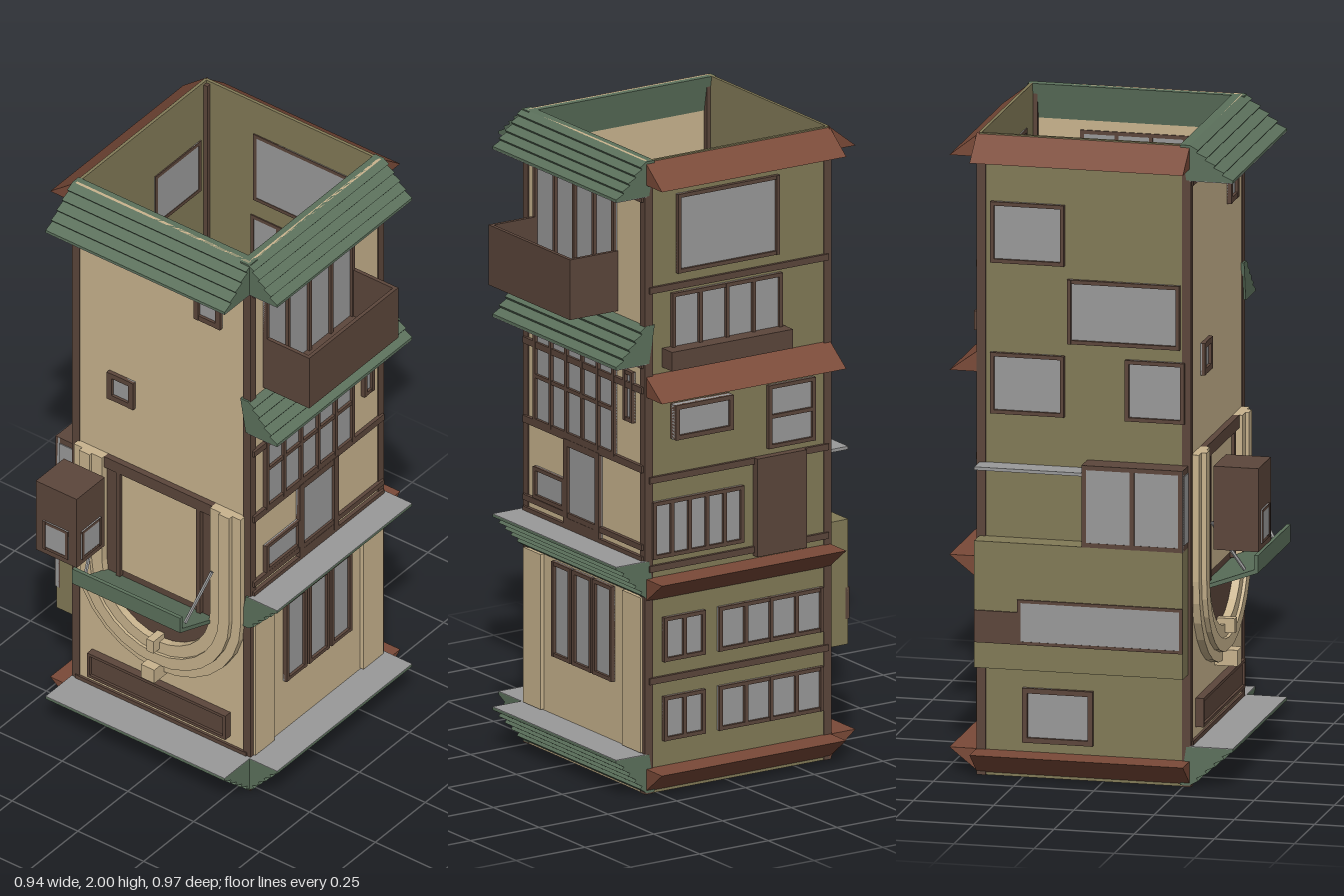
import * as THREE from 'three';

const mat = (color) => new THREE.MeshStandardMaterial({ color, side: THREE.DoubleSide, flatShading: true });

export function createModel() {
  const beige = mat(0xc9b48e), olive = mat(0x827a57), brown = mat(0x5c463b);
  const green = mat(0x5c715c), red = mat(0x7a4a38), grey = mat(0x9a9a9a);
  const model = new THREE.Group();
  model.name = 'tower';

  // Each side is built facing +z in its own frame: u along the wall, y up, o outwards
  const side = (name, x, z, turn) => {
    const g = new THREE.Group();
    g.name = name;
    g.position.set(x, 0, z);
    g.rotation.y = turn * Math.PI / 2;
    model.add(g);
    return g;
  };
  const front = side('frontSide', 0, 0.27, 0);
  const right = side('balconySide', 0.29, 0, 1);
  const back = side('backSide', 0, -0.39, 2);
  const left = side('baySide', -0.38, 0, 3);

  const add = (g, name, geo, m) => {
    const mesh = new THREE.Mesh(geo, m);
    mesh.name = name;
    g.add(mesh);
    return mesh;
  };
  const box = (g, name, m, u0, u1, y0, y1, o0, o1) => {
    const mesh = add(g, name, new THREE.BoxGeometry(u1 - u0, y1 - y0, o1 - o0), m);
    mesh.position.set((u0 + u1) / 2, (y0 + y1) / 2, (o0 + o1) / 2);
    return mesh;
  };
  // Pane with a frame and a grid of bars
  const windowAt = (g, u0, u1, y0, y1, cols = 1, rows = 1, o = 0, w = 0.012, depth = 0.014) => {
    const win = new THREE.Group();
    win.name = 'window';
    win.position.z = o;
    g.add(win);
    box(win, 'pane', grey, u0, u1, y0, y1, -0.012, 0.004);
    for (let i = 0; i <= cols; i++) {
      const u = u0 + w / 2 + (u1 - u0 - w) * i / cols;
      box(win, 'upright', brown, u - w / 2, u + w / 2, y0, y1, -0.014, depth);
    }
    for (let i = 0; i <= rows; i++) {
      const y = y0 + w / 2 + (y1 - y0 - w) * i / rows;
      box(win, 'rail', brown, u0, u1, y - w / 2, y + w / 2, -0.014, depth - 0.001);
    }
  };
  // Extrudes an (o, y) profile along u
  const prism = (g, name, m, pts, u0, u1) => {
    const shape = new THREE.Shape(pts.map(([o, y]) => new THREE.Vector2(o, y)));
    const geo = new THREE.ExtrudeGeometry(shape, { depth: u1 - u0, bevelEnabled: false });
    geo.rotateY(-Math.PI / 2);
    geo.translate(u1, 0, 0);
    return add(g, name, geo, m);
  };
  // Ribbed eave; yTip is the height of its outer edge, yWall where it meets the wall
  const greenRoof = (g, yWall, yTip, u0, u1, out) => {
    const pts = [[-0.03, yWall], [0, yWall]];
    const n = 5, drop = (yTip - yWall) / n;
    for (let i = 1; i <= n; i++) {
      pts.push([out * i / n, yWall + drop * (i - 0.35)]);
      pts.push([out * i / n - (i < n ? 0.006 : 0), yWall + drop * i]);
    }
    pts.push([-0.01, yTip]);
    prism(g, 'greenRoof', green, pts, u0, u1);
    const s = Math.sign(yTip - yWall) * 0.002;
    box(g, 'soffit', grey, u0, u1, yTip + Math.min(0, s), yTip + Math.max(0, s), 0, out);
  };
  const redRoof = (g, yWall, yTip, u0, u1) =>
    prism(g, 'redRoof', red, [[-0.005, yWall], [0.09, yTip], [-0.005, yTip]], u0, u1);

  // Hollow walls, open at top and bottom
  box(front, 'frontWall', beige, -0.375, 0.285, 0, 2, -0.01, 0);
  box(right, 'balconyWall', beige, -0.265, 0.385, 0, 2, -0.01, 0);
  box(back, 'backWall', olive, -0.285, 0.375, 0, 2, -0.01, 0);
  box(left, 'bayWall', olive, -0.385, 0.265, 0, 2, -0.01, 0);
  for (const x of [-0.37, 0.28]) for (const z of [-0.38, 0.26])
    box(model, 'cornerPost', brown, x - 0.014, x + 0.014, 0, 1.99, z - 0.014, z + 0.014);

  // Roofs: the two lower tiers flare upwards, the upper ones slope down
  greenRoof(front, 2, 1.89, -0.385, 0.295, 0.135);
  greenRoof(front, 0.005, 0.125, -0.385, 0.295, 0.135);
  for (const [a, b] of [[2, 1.89], [1.48, 1.36], [0.62, 0.735], [0.005, 0.125]])
    greenRoof(right, a, b, -0.28, 0.395, 0.11);
  for (const [a, b] of [[2, 1.925], [1.325, 1.255], [0.605, 0.68], [0.005, 0.08]])
    redRoof(back, a, b, -0.29, 0.38);
  for (const [a, b] of [[2, 1.925], [0.005, 0.08]]) redRoof(left, a, b, -0.395, 0.27);

  // Front: beams, small windows, base plate
  for (const y of [0.125, 1.87]) box(front, 'beam', brown, -0.37, 0.28, y, y + 0.015, 0, 0.008);
  windowAt(front, 0.085, 0.185, 1.705, 1.805, 1, 1, 0, 0.018);
  windowAt(front, -0.245, -0.145, 1.25, 1.35, 1, 1, 0, 0.018);
  box(front, 'basePlate', brown, -0.31, 0.215, 0.17, 0.26, 0, 0.018);
  for (const y of [0.17, 0.25]) box(front, 'plateRim', brown, -0.31, 0.215, y, y + 0.01, 0.01, 0.026);
  for (const u of [-0.31, 0.205]) box(front, 'plateRim', brown, u, u + 0.01, 0.17, 0.26, 0.01, 0.026);

  // U-shaped surround with stepped mouldings
  const cx = -0.045, cy = 0.635, top = 1.03, N = 14;
  const uLine = (r) => {
    const pts = [new THREE.Vector2(cx - r, top)];
    for (let i = 0; i <= N; i++) {
      const a = Math.PI + Math.PI * i / N;
      pts.push(new THREE.Vector2(cx + r * Math.cos(a), cy + r * Math.sin(a)));
    }
    pts.push(new THREE.Vector2(cx + r, top));
    return pts;
  };
  for (const [r0, r1, o] of [[0.205, 0.245, 0.03], [0.245, 0.285, 0.04], [0.285, 0.317, 0.024]]) {
    const shape = new THREE.Shape([...uLine(r1), ...uLine(r0).reverse()]);
    const geo = new THREE.ExtrudeGeometry(shape, { depth: o + 0.035, bevelEnabled: false });
    add(front, 'surroundMoulding', geo, beige).position.z = -0.035;
  }
  add(front, 'surroundPanel', new THREE.ShapeGeometry(new THREE.Shape(uLine(0.206))), brown).position.z = 0.005;
  box(front, 'innerPanel', beige, -0.19, 0.1, 0.62, 0.99, 0, 0.01);
  for (const u of [-0.205, 0.1]) box(front, 'panelPost', brown, u, u + 0.015, 0.6, 1.0, 0, 0.02);
  box(front, 'panelLintel', brown, -0.25, 0.16, 0.99, 1.03, 0, 0.02);
  box(front, 'keystone', beige, -0.07, -0.02, 0.305, 0.355, 0, 0.072);
  box(front, 'smallKeystone', beige, -0.058, -0.032, 0.405, 0.45, 0, 0.06);

  // Tilted green ledge with a lip and stay rods
  prism(front, 'ledge', green, [[-0.15, 0.525], [0.18, 0.645], [0.18, 0.7], [0.168, 0.7],
    [0.168, 0.655], [-0.15, 0.537]], -0.25, 0.16);
  for (const s of [-1, 1]) {
    const path = new THREE.LineCurve3(new THREE.Vector3(cx + s * 0.19, 0.65, 0.135),
      new THREE.Vector3(cx + s * 0.22, 0.8, 0.04));
    add(front, 'stayRod', new THREE.TubeGeometry(path, 1, 0.006, 6), grey);
  }

  // Hanging box with windows
  box(front, 'hangingBox', brown, -0.365, -0.21, 0.74, 1.0, 0.07, 0.21);
  windowAt(front, -0.335, -0.24, 0.76, 0.865, 1, 1, 0.21, 0.01, 0.006);
  const boxSide = new THREE.Group();
  boxSide.name = 'hangingBoxSide';
  boxSide.position.set(-0.21, 0, 0.14);
  boxSide.rotation.y = Math.PI / 2;
  front.add(boxSide);
  windowAt(boxSide, -0.048, 0.048, 0.76, 0.865, 1, 1, 0, 0.01, 0.006);

  // Balcony side, top floor
  windowAt(right, -0.205, 0.235, 1.49, 1.86, 4, 1);
  box(right, 'balconyFloor', brown, -0.205, 0.24, 1.49, 1.505, 0, 0.175);
  box(right, 'balconyFront', brown, -0.205, 0.24, 1.49, 1.68, 0.163, 0.175);
  for (const u of [-0.205, 0.228]) box(right, 'balconyEnd', brown, u, u + 0.012, 1.49, 1.68, 0, 0.175);
  // Middle floors
  windowAt(right, -0.205, 0.235, 1.03, 1.325, 5, 2);
  windowAt(right, 0.285, 0.335, 1.16, 1.32);
  windowAt(right, -0.04, 0.155, 0.75, 1.02, 1, 1, 0, 0.022);
  windowAt(right, -0.205, -0.035, 0.79, 0.89);
  for (const [y, h] of [[1.87, 0.015], [1.345, 0.015], [1.265, 0.02], [1.015, 0.022], [0.77, 0.018], [0.735, 0.015]])
    box(right, 'beam', brown, -0.265, 0.385, y, y + h, 0, 0.012);
  // Ground floor
  for (const u of [-0.105, 0.008, 0.12]) windowAt(right, u, u + 0.103, 0.315, 0.615);
  box(right, 'pilaster', beige, -0.26, -0.165, 0.13, 0.62, 0, 0.012);
  box(right, 'pilaster', beige, 0.28, 0.38, 0.13, 0.62, 0, 0.012);

  // Back, upper floors (u runs towards -x)
  windowAt(back, -0.18, 0.19, 1.63, 1.88);
  windowAt(back, -0.2, 0.2, 1.38, 1.57, 4, 1);
  box(back, 'planter', brown, -0.23, 0.21, 1.34, 1.4, 0, 0.055);
  windowAt(back, -0.2, 0.01, 1.11, 1.22, 1, 1, 0.018, 0.014);
  box(back, 'windowBox', brown, -0.2, 0.01, 1.11, 1.22, 0, 0.01);
  windowAt(back, 0.15, 0.32, 1.02, 1.22, 1, 2);
  box(back, 'door', brown, 0.1, 0.28, 0.69, 1.0, 0, 0.025);
  windowAt(back, -0.27, 0.06, 0.74, 0.92, 5, 1);
  for (const y of [1.58, 0.98, 0.7, 0.345]) box(back, 'beam', brown, -0.28, 0.37, y, y + 0.02, 0, 0.01);
  // Back, lower floors
  for (const y of [0.16, 0.41]) {
    windowAt(back, -0.23, -0.08, y, y + 0.14, 2, 1);
    windowAt(back, -0.03, 0.35, y, y + 0.14, 4, 1);
  }

  // Bay side (u runs towards +z)
  windowAt(left, -0.35, -0.12, 1.6, 1.79);
  windowAt(left, -0.11, 0.24, 1.36, 1.56);
  windowAt(left, -0.35, -0.12, 1.13, 1.32);
  windowAt(left, 0.07, 0.255, 1.13, 1.32);
  windowAt(left, -0.25, -0.03, 0.11, 0.28, 1, 1, 0, 0.016);
  box(left, 'lowerBay', olive, -0.385, 0.265, 0.35, 0.745, 0, 0.07);
  windowAt(left, -0.25, 0.265, 0.43, 0.57, 1, 1, 0.07, 0.01, 0.006);
  box(left, 'bayBeam', brown, -0.385, -0.25, 0.43, 0.53, 0.06, 0.075);
  box(left, 'upperBay', brown, -0.05, 0.265, 0.745, 1.0, 0, 0.068);
  windowAt(left, -0.05, 0.265, 0.745, 1.0, 2, 1, 0.068, 0.014, 0.006);
  for (const u of [-0.052, 0.264]) box(left, 'bayEndPane', grey, u, u + 0.004, 0.765, 0.98, 0.008, 0.058);
  box(left, 'canopy', grey, -0.385, -0.05, 0.965, 0.975, 0, 0.07);

  return model;
}
